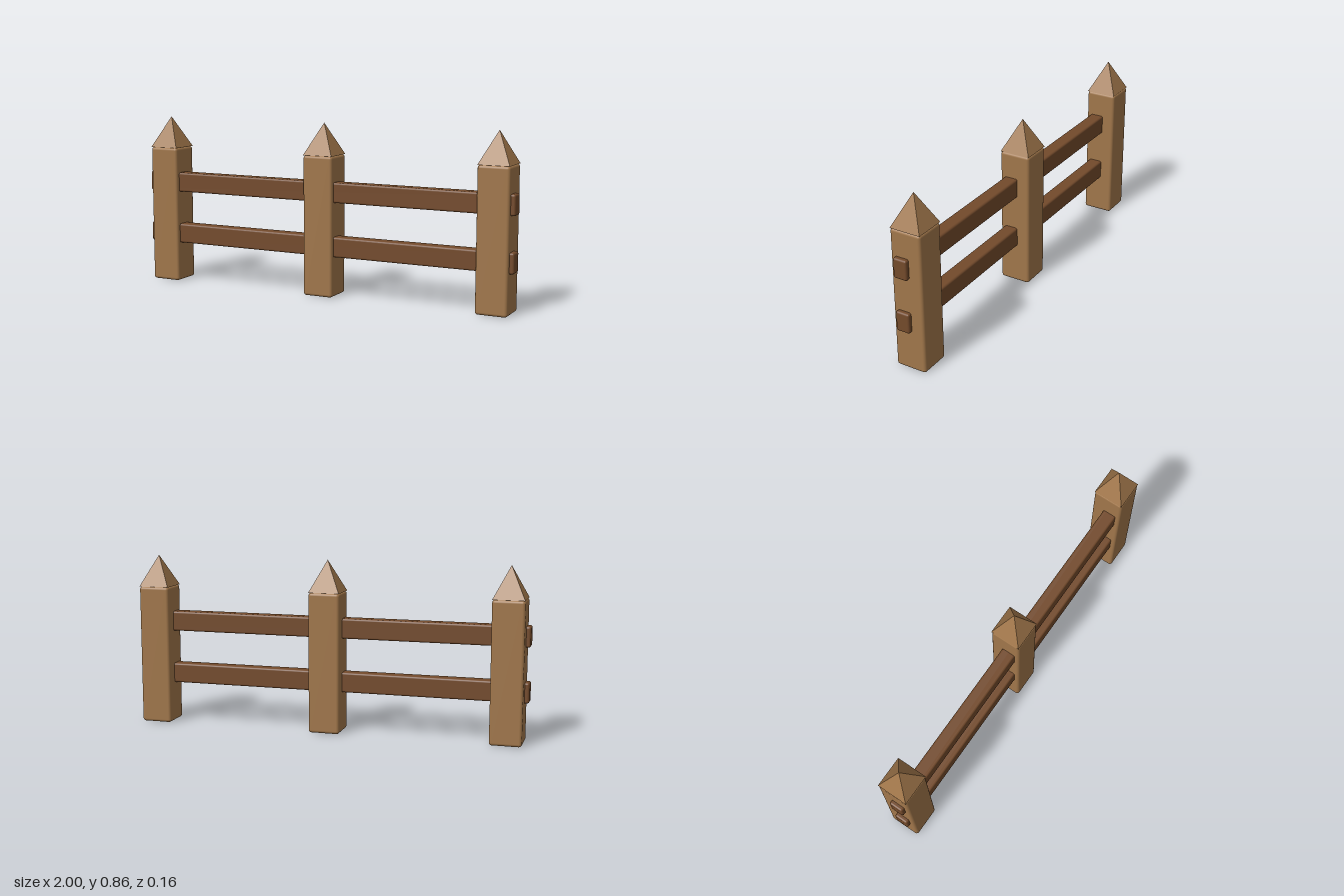
import * as THREE from 'three';
import { RoundedBoxGeometry } from 'three/addons/geometries/RoundedBoxGeometry.js';

export function createModel() {
  const fence = new THREE.Group();
  fence.name = 'fence';

  const postWood = new THREE.MeshStandardMaterial({ color: 0xa0764a });
  postWood.name = 'light wood';
  const railWood = new THREE.MeshStandardMaterial({ color: 0x734a2b });
  railWood.name = 'dark wood';

  const add = (parent, name, geometry, material, x, y, z) => {
    const mesh = new THREE.Mesh(geometry, material);
    mesh.name = name;
    mesh.position.set(x, y, z);
    parent.add(mesh);
  };

  // Square post with softened edges
  const postHeight = 0.7;
  const postGeometry = new RoundedBoxGeometry(0.157, postHeight, 0.157, 3, 0.014);

  // Four-sided pointed cap, turned square to the post
  const capHeight = 0.158;
  const capGeometry = new THREE.ConeGeometry(0.11, capHeight, 4).toNonIndexed();
  capGeometry.rotateY(Math.PI / 4);
  capGeometry.computeVertexNormals();

  for (const [name, x] of [['rightPost', -0.9], ['middlePost', 0], ['leftPost', 0.9]]) {
    const post = new THREE.Group();
    post.name = name;
    post.position.x = x;
    add(post, 'postShaft', postGeometry, postWood, 0, postHeight / 2, 0);
    add(post, 'postCap', capGeometry, postWood, 0, postHeight + capHeight / 2, 0);
    fence.add(post);
  }

  // Two rails run through all posts, slightly forward of centre
  const railGeometry = new RoundedBoxGeometry(2, 0.1, 0.07, 3, 0.01);
  add(fence, 'lowerRail', railGeometry, railWood, 0, 0.251, 0.02);
  add(fence, 'upperRail', railGeometry, railWood, 0, 0.521, 0.02);

  return fence;
}
